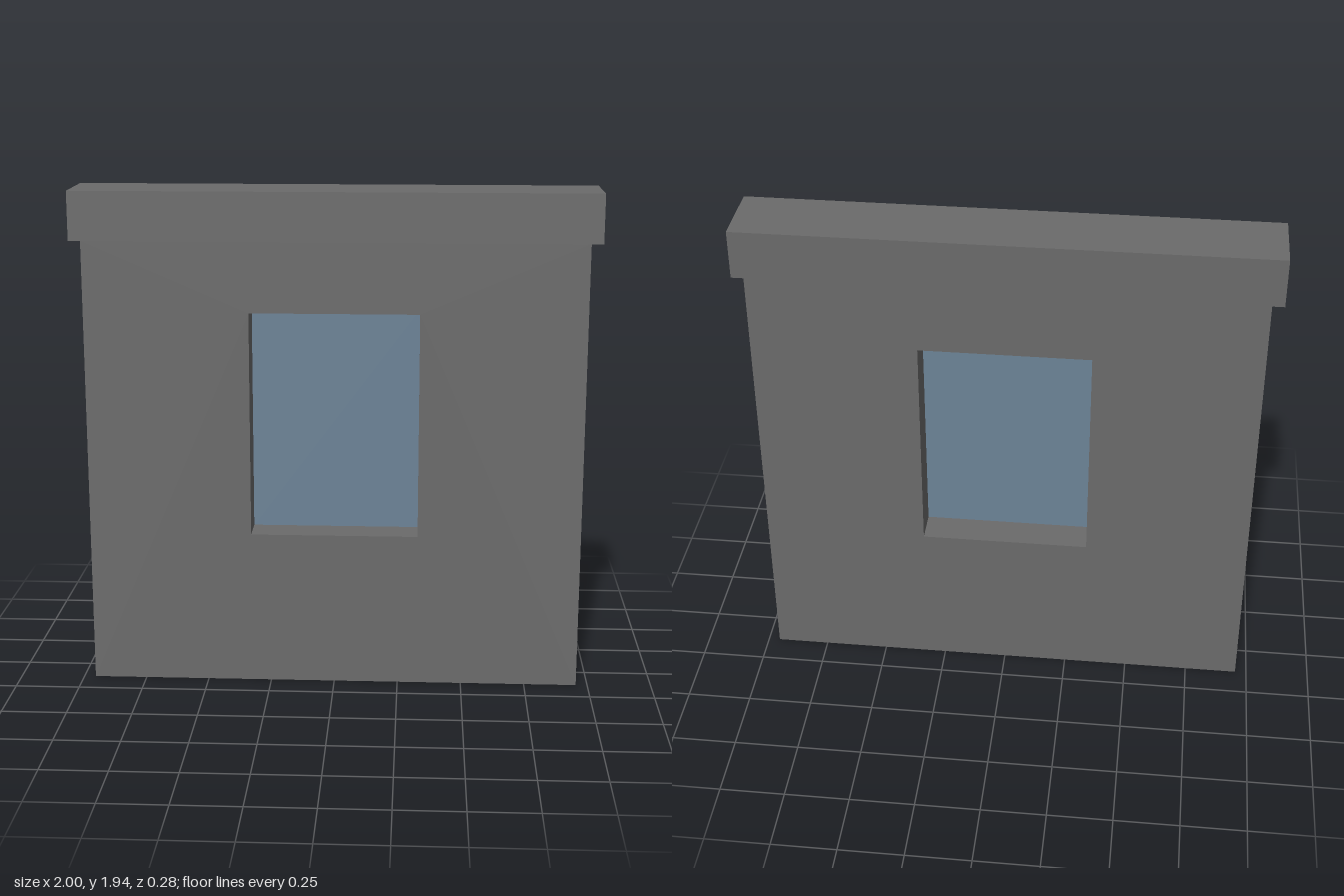
import * as THREE from 'three';

export function createModel() {
  const group = new THREE.Group();
  const stone = new THREE.MeshStandardMaterial({ color: 0x6b6b6b });
  stone.name = 'grey stone';
  const glass = new THREE.MeshStandardMaterial({ color: 0x6c8397 });
  glass.name = 'blue glass';

  const add = (name, geometry, material, y, z = 0) => {
    const mesh = new THREE.Mesh(geometry, material);
    mesh.name = name;
    mesh.position.set(0, y, z);
    group.add(mesh);
  };

  // Rectangle outline, centred on x
  const rectangle = (Type, halfWidth, bottom, top) => new Type([
    new THREE.Vector2(-halfWidth, bottom),
    new THREE.Vector2(halfWidth, bottom),
    new THREE.Vector2(halfWidth, top),
    new THREE.Vector2(-halfWidth, top),
  ]);

  const wallHeight = 1.748, wallDepth = 0.266, capHeight = 0.187;
  const windowHalf = 0.324, sill = 0.603, head = 1.477;

  // Wall with a window opening right through it
  const outline = rectangle(THREE.Shape, 0.955, 0, wallHeight);
  outline.holes.push(rectangle(THREE.Path, windowHalf, sill, head));
  const wall = new THREE.ExtrudeGeometry(outline, { depth: wallDepth, bevelEnabled: false });
  add('wall', wall, stone, 0, -wallDepth / 2);

  // Coping that overhangs the wall
  add('coping', new THREE.BoxGeometry(2, capHeight, 0.28), stone, wallHeight + capHeight / 2);

  // Thin pane halfway through the opening
  const pane = new THREE.BoxGeometry(windowHalf * 2, head - sill, 0.006);
  add('windowPane', pane, glass, (sill + head) / 2);

  return group;
}
